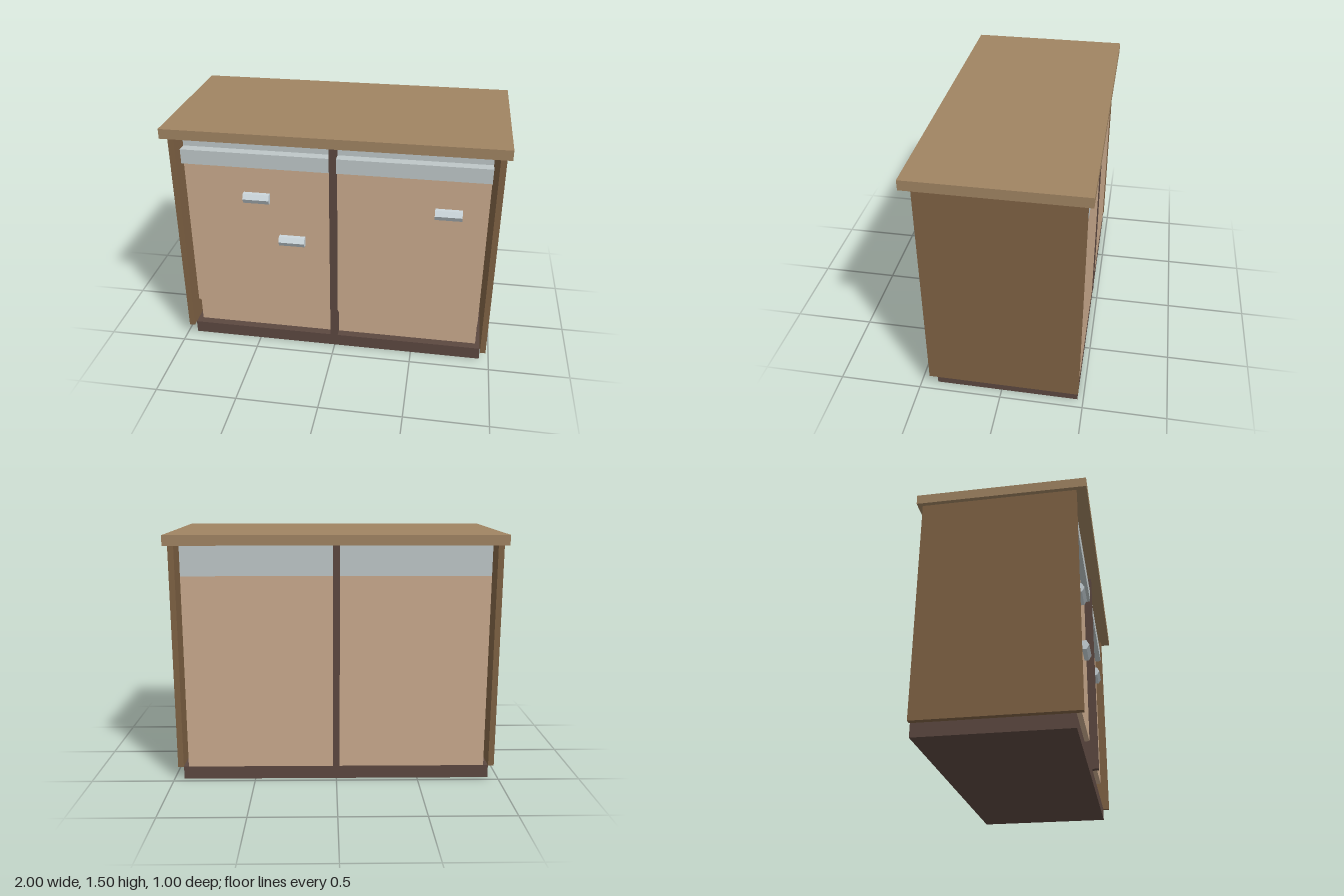
import * as THREE from 'three';

const mat = (name, color) => {
  const m = new THREE.MeshStandardMaterial({ color });
  m.name = name;
  return m;
};

export function createModel() {
  const model = new THREE.Group();
  model.name = 'sideboard';

  const topWood = mat('counter wood', 0xa08462);
  const sideWood = mat('side wood', 0x7f6244);
  const darkWood = mat('dark wood', 0x5c4840);
  const tan = mat('tan front', 0xc9aa8d);
  const grey = mat('pale grey', 0xbec7c8);
  const metal = mat('handle metal', 0xccd7dc);

  // Box given by its minimum and maximum corners
  const box = (name, material, [x0, y0, z0], [x1, y1, z1]) => {
    const mesh = new THREE.Mesh(new THREE.BoxGeometry(x1 - x0, y1 - y0, z1 - z0), material);
    mesh.position.set((x0 + x1) / 2, (y0 + y1) / 2, (z0 + z1) / 2);
    mesh.name = name;
    model.add(mesh);
  };

  // Carcass
  box('countertop', topWood, [-1, 1.44, -0.5], [1, 1.5, 0.5]);
  box('plinth', darkWood, [-0.94, 0, -0.465], [0.94, 0.08, 0.4]);
  box('divider', darkWood, [-0.02, 0.08, -0.472], [0.02, 1.44, 0.44]);

  for (const s of [-1, 1]) {
    const span = (a, b) => (s > 0 ? [a, b] : [-b, -a]);
    const [p0, p1] = span(0.94, 0.975);
    box('sidePanel', sideWood, [p0, 0.08, -0.47], [p1, 1.44, 0.44]);

    // Cupboard body: recessed foot, door block, upper block and drawer rail
    const [x0, x1] = span(0.02, 0.91);
    box('lowerPanel', tan, [x0, 0.08, -0.465], [x1, 0.26, 0.35]);
    box('door', tan, [x0, 0.26, -0.465], [x1, 1.26, 0.39]);
    box('upperBlock', grey, [x0, 1.26, -0.465], [x1, 1.44, 0.37]);
    box('drawerRail', grey, [x0, 1.26, 0.37], [x1, 1.35, 0.43]);
  }

  // Six-sided bar handles
  const bar = new THREE.CylinderGeometry(0.035, 0.035, 0.16, 6).toNonIndexed();
  bar.computeVertexNormals();
  bar.rotateZ(Math.PI / 2);
  for (const [x, y] of [[-0.47, 1.05], [-0.26, 0.77], [0.68, 1.03]]) {
    const handle = new THREE.Mesh(bar, metal);
    handle.position.set(x, y, 0.4);
    handle.name = 'handle';
    model.add(handle);
  }

  return model;
}
